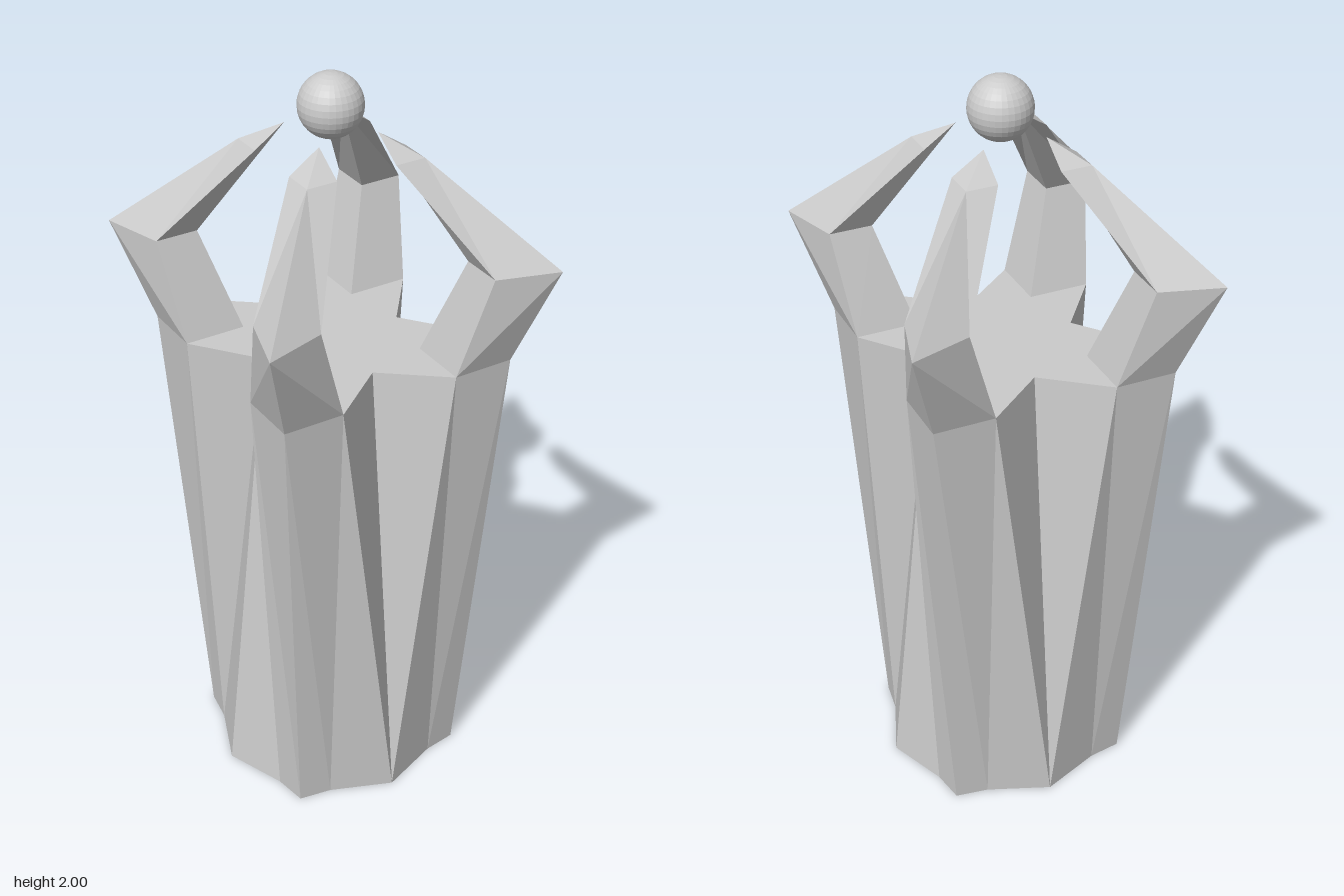
import * as THREE from 'three';

const material = new THREE.MeshStandardMaterial({ color: 0xcccccc, flatShading: true });

// Skin between rings of [x, y, z] points (running from +x towards +z),
// closed by fans around the optional bottom and top points.
function loft(name, rings, bottom, top) {
  const pos = [];
  const tri = (...pts) => pts.forEach((p) => pos.push(...p));
  const n = rings[0].length;
  for (let r = 0; r < rings.length - 1; r++) {
    for (let i = 0; i < n; i++) {
      const j = (i + 1) % n;
      const [b0, b1, t0, t1] = [rings[r][i], rings[r][j], rings[r + 1][i], rings[r + 1][j]];
      // mirror the diagonal from quadrant to quadrant
      if (Math.floor((i * 4) / n) % 2) { tri(b0, t0, t1); tri(b0, t1, b1); }
      else { tri(b0, t0, b1); tri(t0, t1, b1); }
    }
  }
  const first = rings[0], last = rings[rings.length - 1];
  for (let i = 0; i < n; i++) {
    const j = (i + 1) % n;
    if (bottom) tri(bottom, first[i], first[j]);
    if (top && last[i] !== top && last[j] !== top) tri(top, last[j], last[i]);
  }
  const geometry = new THREE.BufferGeometry();
  geometry.setAttribute('position', new THREE.Float32BufferAttribute(pos, 3));
  geometry.computeVertexNormals();
  const mesh = new THREE.Mesh(geometry, material);
  mesh.name = name;
  return mesh;
}

// Repeat one quadrant of an outline four times around the y axis
function quarterRing(points, y) {
  const ring = [];
  for (let q = 0; q < 4; q++) {
    for (const p of points) {
      let [x, z] = p;
      for (let k = 0; k < q; k++) [x, z] = [-z, x];
      ring.push([x, y, z]);
    }
  }
  return ring;
}

export function createModel() {
  const model = new THREE.Group();
  model.name = 'clawPedestal';

  // Column: near-octagonal foot rising to a four-armed star
  const deck = 1.275;
  model.add(loft('column', [
    quarterRing([[0.328, 0], [0.264, 0.162], [0.25, 0.25], [0.162, 0.264]], 0),
    quarterRing([[0.2, 0], [0.328, 0.164], [0.328, 0.328], [0.164, 0.328]], deck),
  ], [0, 0, 0], [0, deck, 0]));

  // Claws: bent prongs, each ring given as inner, side, outer, side corner
  const ring = (inner, side, outer, y, innerY = y) => [
    [inner, innerY, inner], [side, y, inner], [outer, y, outer], [inner, y, side],
  ];
  const tip = ring(0.082, 0.164, 0.164, 1.805, 1.86);
  const rings = [
    ring(0.164, 0.328, 0.328, deck),
    ring(0.245, 0.36, 0.41, 1.54),
    tip,
  ];
  for (let i = 0; i < 4; i++) {
    const claw = loft('claw' + (i + 1), rings, null, tip[0]);
    claw.rotation.y = (i * Math.PI) / 2;
    model.add(claw);
  }

  // Ball floating above the claw tips
  const ball = new THREE.Mesh(new THREE.SphereGeometry(0.082, 32, 16), material);
  ball.name = 'ball';
  ball.position.y = 1.918;
  model.add(ball);

  return model;
}
